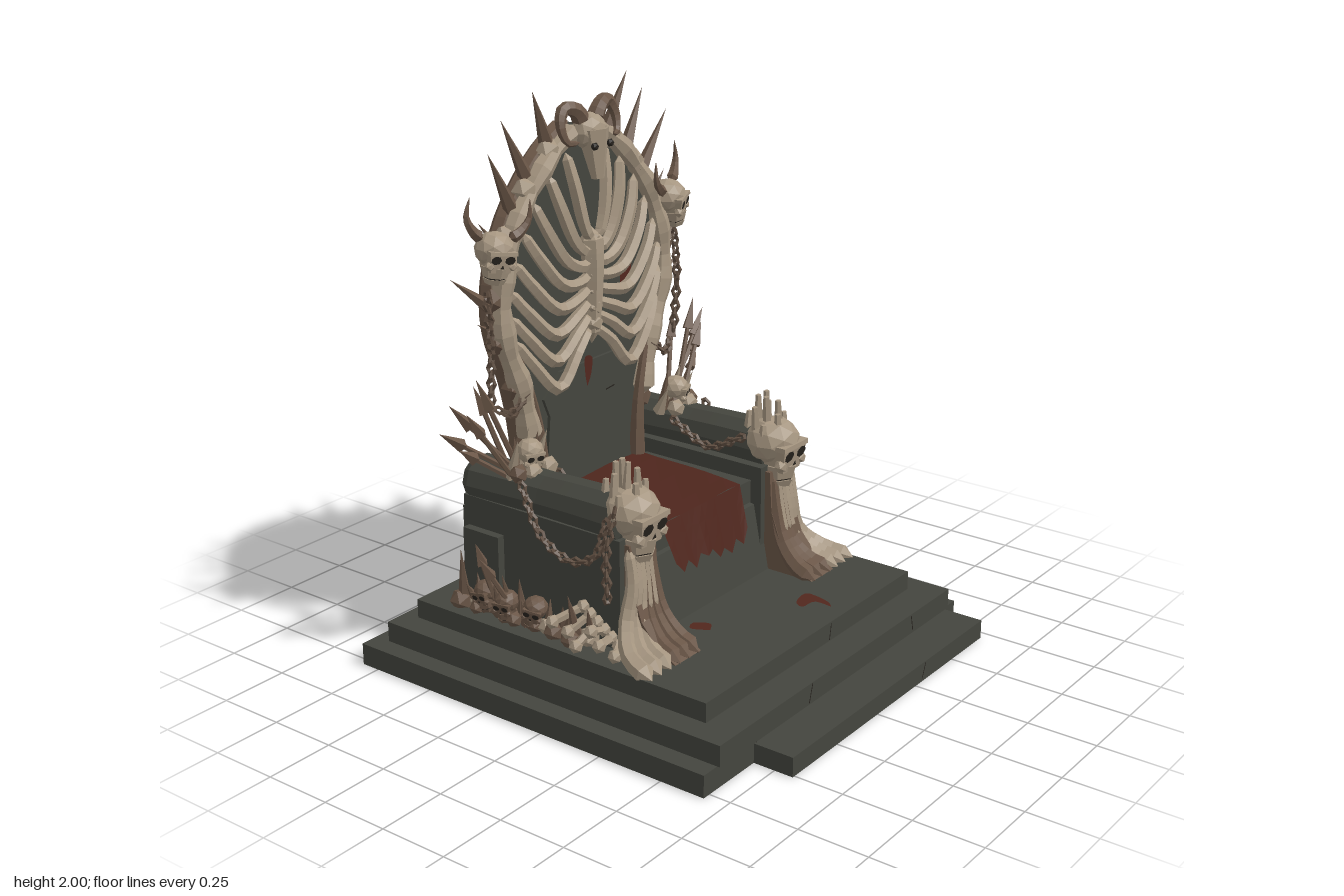
import * as THREE from 'three';

const mat = (name, color, side = THREE.FrontSide) => Object.assign(new THREE.MeshStandardMaterial({ color, side }), { name });
const V = (x, y, z) => new THREE.Vector3(x, y, z);

export function createModel() {
  const root = new THREE.Group();
  root.name = 'boneThrone';
  const stone = mat('stone', 0x44453e), bone = mat('pale bone', 0xa69681), brown = mat('old bone', 0x6a5647);
  const cloth = mat('red cloth', 0x4e261d, THREE.DoubleSide), blood = mat('dried blood', 0x52271e, THREE.DoubleSide);
  const dark = mat('dark hollow', 0x26221d, THREE.DoubleSide), iron = mat('rusty iron', 0x5e4d40);

  let seed = 7;
  const rnd = (a = 0, b = 1) => { seed = (seed * 16807) % 2147483647; return a + (b - a) * seed / 2147483647; };

  // Faceted mesh
  const add = (name, geo, m, parent = root) => {
    const g = geo.index ? geo.toNonIndexed() : geo;
    g.computeVertexNormals();
    const mesh = new THREE.Mesh(g, m);
    mesh.name = name;
    parent.add(mesh);
    return mesh;
  };
  const box = (name, m, x0, x1, y0, y1, z0, z1, parent) =>
    add(name, new THREE.BoxGeometry(x1 - x0, y1 - y0, z1 - z0).translate((x0 + x1) / 2, (y0 + y1) / 2, (z0 + z1) / 2), m, parent);
  const lump = (name, m, r, x, y, z, parent) => add(name, new THREE.IcosahedronGeometry(r, 0).translate(x, y, z), m, parent);

  // Tapered, closed tube through points; rad(t) gives the radius
  const limb = (name, m, pts, rad, seg = 10, sides = 6, parent = root) => {
    const curve = new THREE.CatmullRomCurve3(pts), geo = new THREE.TubeGeometry(curve, seg, 1, sides);
    const p = geo.attributes.position, v = V(0, 0, 0);
    for (let i = 0; i <= seg; i++) {
      const c = curve.getPointAt(i / seg), r = i === 0 || i === seg ? 0 : rad(i / seg);
      for (let j = 0; j <= sides; j++) {
        const k = i * (sides + 1) + j;
        v.fromBufferAttribute(p, k).sub(c).multiplyScalar(r).add(c);
        p.setXYZ(k, v.x, v.y, v.z);
      }
    }
    return add(name, geo, m, parent);
  };
  const between = (geo, a, b) => {
    const q = new THREE.Quaternion().setFromUnitVectors(V(0, 1, 0), b.clone().sub(a).normalize());
    return geo.applyQuaternion(q).translate((a.x + b.x) / 2, (a.y + b.y) / 2, (a.z + b.z) / 2);
  };
  const spike = (name, m, a, b, r, sides = 5) => add(name, between(new THREE.ConeGeometry(r, a.distanceTo(b), sides), a, b), m);
  const spear = (a, b) => {
    const neck = a.clone().lerp(b, 0.72);
    add('spearShaft', between(new THREE.CylinderGeometry(0.009, 0.011, a.distanceTo(neck), 5), a, neck), brown);
    spike('spearHead', brown, neck, b, 0.024, 4);
  };
  const longBone = (a, b, r, m) => {
    add('looseBone', between(new THREE.CylinderGeometry(r, r, a.distanceTo(b), 5), a, b), m);
    for (const e of [a, b]) lump('boneKnob', m, r * 1.7, e.x, e.y, e.z);
  };
  const chain = (pts) => {
    const curve = new THREE.CatmullRomCurve3(pts), n = Math.max(2, Math.round(curve.getLength() / 0.028));
    for (let i = 0; i <= n; i++) {
      const link = add('chainLink', new THREE.TorusGeometry(0.013, 0.007, 4, 6).rotateY(i % 2 ? 0.4 : 1.9).scale(1, 1.35, 1), iron);
      link.position.copy(curve.getPointAt(i / n));
      link.quaternion.setFromUnitVectors(V(0, 1, 0), curve.getTangentAt(i / n));
    }
  };

  // Skull about one unit tall, facing +z
  const skull = (name, m, x, y, z, size, turn = 0, tilt = 0, horns = false) => {
    const g = new THREE.Group();
    g.name = name;
    add('cranium', new THREE.IcosahedronGeometry(0.5, 1).scale(0.88, 0.8, 0.9).translate(0, 0.14, 0), m, g);
    add('face', new THREE.CylinderGeometry(0.45, 0.33, 0.44, 4).rotateY(Math.PI / 4).translate(0, -0.08, 0.13), m, g);
    box('brow', m, -0.33, 0.33, 0.09, 0.17, 0.2, 0.46, g);
    add('upperJaw', new THREE.CylinderGeometry(0.32, 0.26, 0.22, 6).translate(0, -0.32, 0.13), m, g);
    add('mouthGap', new THREE.CylinderGeometry(0.23, 0.23, 0.04, 6).translate(0, -0.44, 0.13), dark, g);
    add('lowerJaw', new THREE.CylinderGeometry(0.26, 0.2, 0.12, 6).translate(0, -0.52, 0.13), m, g);
    add('nose', new THREE.CircleGeometry(0.06, 3).rotateZ(Math.PI / 2).rotateX(0.2).translate(0, -0.17, 0.424), dark, g);
    for (const s of [-1, 1]) {
      add('eyeSocket', new THREE.CircleGeometry(0.11, 7).scale(1.15, 0.9, 1).rotateX(0.2).translate(s * 0.165, -0.01, 0.44), dark, g);
      lump('cheek', m, 0.11, s * 0.27, -0.16, 0.34, g);
      if (horns) limb('horn', brown, [V(s * 0.3, 0.35, 0), V(s * 0.55, 0.5, 0), V(s * 0.75, 0.8, 0), V(s * 0.72, 1.25, 0)], t => 0.15 * (1 - t) + 0.01, 8, 5, g);
    }
    g.position.set(x, y, z);
    g.rotation.set(0, turn, tilt);
    g.scale.setScalar(size);
    root.add(g);
  };

  // Stepped plinth
  box('bottomStep', stone, -0.78, 0.775, 0, 0.08, -0.82, 0.67);
  box('frontLedge', stone, -0.51, 0.71, 0, 0.07, 0.67, 0.82);
  box('middleStep', stone, -0.71, 0.71, 0.08, 0.155, -0.76, 0.68);
  box('topStep', stone, -0.62, 0.62, 0.155, 0.225, -0.7, 0.56);

  // Seat body with a sloping front
  const side = new THREE.Shape([[-0.58, 0.22], [0.14, 0.22], [0.09, 0.475], [0.065, 0.48], [0.06, 0.56], [-0.58, 0.56]].map(p => new THREE.Vector2(...p)));
  add('seatBody', new THREE.ExtrudeGeometry(side, { depth: 0.8, bevelEnabled: false }).rotateY(-Math.PI / 2).translate(0.4, 0, 0), stone);
  box('seatLip', stone, -0.32, 0.32, 0.48, 0.565, -0.4, 0.075);
  box('rearWall', stone, -0.49, 0.49, 0.22, 0.57, -0.585, -0.5);

  // Cloth: seat sheet and ragged hanging flap
  const sheet = new THREE.PlaneGeometry(1, 1, 6, 6), sp = sheet.attributes.position;
  for (let i = 0; i < sp.count; i++) {
    const x = sp.getX(i), t = 0.5 - sp.getY(i);
    sp.setXYZ(i, x * (0.56 - 0.1 * t), 0.577 + 0.004 * Math.sin(x * 9 + t * 5), -0.41 + 0.493 * t);
  }
  add('seatCloth', sheet, cloth);
  const drops = [0.44, 0.4, 0.43, 0.39, 0.43, 0.41, 0.42, 0.38, 0.4, 0.37, 0.41, 0.38, 0.43];
  const flap = new THREE.PlaneGeometry(1, 1, 12, 3), fp = flap.attributes.position;
  for (let i = 0; i < fp.count; i++) {
    const t = 0.5 - fp.getY(i), c = i % 13;
    fp.setXYZ(i, fp.getX(i) * (0.46 - 0.04 * t), 0.578 + (drops[c] - 0.578) * t, 0.083 + 0.05 * t + (c % 2) * 0.01 * t);
  }
  add('clothFlap', flap, cloth);

  // Backrest slab: half profile, mirrored
  const half = [[0.27, 0.5], [0.28, 0.78], [0.33, 1.0], [0.4, 1.18], [0.41, 1.33], [0.35, 1.53], [0.25, 1.67], [0.13, 1.78], [0, 1.85]];
  const outline = [...half, ...half.slice(0, -1).reverse().map(([x, y]) => [-x, y])].map(p => new THREE.Vector2(...p));
  add('backSlab', new THREE.ExtrudeGeometry(new THREE.Shape(outline), { depth: 0.09, bevelEnabled: false }).translate(0, 0, -0.52), stone);
  const panel = [[-0.24, 0.56], [0.24, 0.56], [0.21, 0.85], [0.24, 0.92], [0.15, 1.0], [-0.15, 1.0], [-0.24, 0.92], [-0.21, 0.85]];
  add('lowerPanel', new THREE.ExtrudeGeometry(new THREE.Shape(panel.map(p => new THREE.Vector2(...p))), { depth: 0.012, bevelEnabled: false }).translate(0, 0, -0.43), stone);

  // Breastbone
  limb('breastbone', bone, [V(0, 1.5, -0.4), V(0, 1.4, -0.39), V(0, 1.25, -0.39), V(0, 1.07, -0.4)], t => 0.046 - 0.02 * t, 9, 6);
  for (let i = 0; i < 6; i++) lump('breastboneKnob', bone, 0.036, 0, 1.45 - i * 0.06, -0.39);

  const ribEnds = [[0.1, 1.77], [0.19, 1.71], [0.27, 1.63], [0.33, 1.54], [0.38, 1.45], [0.41, 1.36], [0.41, 1.27], [0.39, 1.18]];
  const spikes = [[0.42, 1.27, 0.64, 1.44], [0.33, 1.59, 0.475, 1.83], [0.25, 1.68, 0.375, 1.92], [0.15, 1.78, 0.25, 2], [0.38, 1.46, 0.5, 1.6], [0.43, 1.2, 0.55, 1.27]];
  const spears = [[0.72, 0.93], [0.7, 1.03], [0.6, 1.1], [0.55, 1.05], [0.66, 0.86], [0.65, 0.99]];

  for (const s of [-1, 1]) {
    // Bone frame round the slab
    limb('frameBack', brown, half.map(([x, y]) => V(s * (x + 0.02), y + 0.01, -0.475)), t => 0.05 - 0.012 * t, 28, 7);
    limb('frameFront', bone, half.slice(1).map(([x, y]) => V(s * (x + 0.025), y, -0.425)), t => 0.044 - 0.012 * t + 0.006 * Math.sin(t * 40), 28, 7);
    limb('frameInner', brown, half.slice(0, 4).map(([x, y]) => V(s * (x - 0.005), y, -0.41)), t => 0.032 * (1.1 - t), 10, 6);
    for (const [x, y] of half.slice(1, 8)) lump('frameKnuckle', y > 1.4 ? bone : brown, 0.05, s * (x + 0.035), y, -0.44);

    // Ribs sag away from the breastbone and rise to the frame
    ribEnds.forEach(([x, y], i) => {
      const y0 = 1.47 - i * 0.047, sag = 0.012 + 0.003 * i * i;
      limb('rib', bone, [V(0, y0, -0.4), V(s * x * 0.22, y0 - sag * 0.45, -0.385), V(s * x * 0.5, y0 + (y - y0) * 0.2 - sag * 1.2, -0.385),
        V(s * x * 0.82, y0 + (y - y0) * 0.62 - sag * 0.55, -0.395), V(s * x, y, -0.42)], t => 0.018 + 0.006 * Math.sin(t * 3.1), 14, 5);
    });

    // Crown of spikes, horned skulls and hanging chains
    spikes.forEach(([x0, y0, x1, y1], i) => spike('frameSpike', brown, V(s * x0, y0, -0.45), V(s * x1, y1, i % 2 ? -0.43 : -0.46), i < 4 ? 0.032 : 0.022));
    skull('hornedSkull', bone, s * 0.47, 1.49, -0.42, 0.155, s * 0.35, s * 0.15, true);
    chain([V(s * 0.51, 1.36, -0.42), V(s * 0.51, 1.2, -0.41), V(s * 0.505, 1.0, -0.42)]);
    chain([V(s * 0.35, 0.98, -0.4), V(s * 0.43, 0.93, -0.4), V(s * 0.47, 0.95, -0.42)]);

    // Arms: wall and rounded rest with blunt ends
    box('armWall', stone, s > 0 ? 0.31 : -0.5, s > 0 ? 0.5 : -0.31, 0.22, 0.62, -0.57, 0.12);
    limb('armRest', stone, [V(s * 0.42, 0.67, 0.13), V(s * 0.42, 0.67, -0.1), V(s * 0.42, 0.665, -0.3), V(s * 0.42, 0.655, -0.61)],
      t => t > 0.95 ? 0.075 : 0.084 + 0.014 * Math.abs(t - 0.5), 24, 10);

    // Arm skull with a crown of shards
    skull('armSkull', bone, s * 0.41, 0.665, 0.1, 0.225);
    for (let i = 0; i < 10; i++) {
      const a = i * 2.4, r = 0.026 * Math.sqrt(i), x = s * 0.41 + r * Math.cos(a), z = 0.075 + r * Math.sin(a), top = 0.88 - i * 0.012;
      add('crownShard', between(new THREE.CylinderGeometry(0.011, 0.021, top - 0.7, 5), V(x, 0.7, z), V(x + rnd(-0.015, 0.015), top, z)), bone);
    }

    // Flaring leg of fused bones
    const leg = new THREE.Shape([[0.08, 0.22], [0.33, 0.225], [0.25, 0.27], [0.19, 0.34], [0.15, 0.45], [0.14, 0.6], [0.08, 0.6]].map(p => new THREE.Vector2(...p)));
    add('legCore', new THREE.ExtrudeGeometry(leg, { depth: 0.14, bevelEnabled: false }).rotateY(-Math.PI / 2).translate(s * 0.405 + 0.07, 0, 0), brown);
    for (let i = 0; i < 6; i++) {
      const x = 0.36 + i * 0.022, f = 0.35 + i * 0.051, pts = [V(s * x, 0.6, 0.13), V(s * x, 0.46, 0.148),
        V(s * (x * 0.75 + f * 0.25), 0.34, 0.18 - 0.006 * i), V(s * (x * 0.3 + f * 0.7), 0.26, 0.25 - 0.008 * i), V(s * f, 0.225, 0.335)];
      limb('legBone', i < 3 ? brown : bone, pts, t => 0.017 + 0.02 * t, 12, 6);
      if (i === 1 || i === 2) limb('legStreak', bone, pts.slice(0, 3).map(p => p.add(V(0, 0, 0.012))), () => 0.013, 6, 5);
    }

    // Spears and bones behind the arm
    spears.forEach(([x, y], i) => spear(V(s * (0.4 + 0.012 * i), 0.7, -0.4 + 0.02 * (i % 3)), V(s * x, y, -0.46 + 0.03 * (i % 3))));
    skull('restSkull', bone, s * 0.41, 0.79, -0.34, 0.11, s * 0.4);
    for (let i = 0; i < 7; i++) spike('restShard', i % 2 ? brown : bone, V(s * (0.35 + 0.02 * i), 0.72, -0.37), V(s * (0.34 + 0.025 * i), rnd(0.8, 0.9), -0.32 - 0.02 * (i % 3)), 0.026);
    for (let i = 0; i < 4; i++) lump('restRubble', i % 2 ? brown : bone, 0.035, s * (0.36 + 0.04 * i), 0.745, -0.3 - 0.03 * (i % 2));

    // Chains draped along the arm
    chain([V(s * 0.52, 0.68, 0.08), V(s * 0.525, 0.55, 0.03), V(s * 0.525, 0.51, -0.08), V(s * 0.525, 0.57, -0.2), V(s * 0.52, 0.72, -0.28)]);
    chain([V(s * 0.5, 0.72, 0.1), V(s * 0.53, 0.6, 0.09), V(s * 0.53, 0.42, 0.09)]);
    chain([V(s * 0.325, 0.71, 0.02), V(s * 0.315, 0.65, -0.12), V(s * 0.325, 0.71, -0.28)]);

    // Remains heaped along the side
    for (let i = 0; i < 14; i++) {
      const z = 0.0 - i * 0.042;
      spike('sideSpike', brown, V(s * rnd(0.5, 0.54), 0.21, z), V(s * rnd(0.52, 0.6), 0.3 + rnd(0, 0.18), z + rnd(-0.05, 0.05)), 0.028);
      lump('rubble', i % 4 ? brown : bone, rnd(0.025, 0.045), s * rnd(0.51, 0.57), 0.245, z);
    }
    for (let i = 0; i < 3; i++) skull('heapSkull', brown, s * (0.54 + 0.02 * (i % 2)), 0.29, -0.22 - 0.11 * i, 0.1, s * (1.2 + 0.2 * i), 0.2 * (i - 1));
    for (let i = 0; i < 6; i++) longBone(V(s * 0.51, 0.25 + 0.02 * i, 0.12 - 0.03 * i), V(s * (0.58 + 0.02 * (i % 2)), 0.25 + 0.03 * (i % 3), 0.16 - 0.05 * i), 0.015, bone);
    spear(V(s * 0.52, 0.22, -0.3), V(s * 0.68, 0.5, -0.34));
    spear(V(s * 0.52, 0.22, -0.4), V(s * 0.61, 0.51, -0.42));
    box('leaningSlab', stone, s > 0 ? 0.49 : -0.53, s > 0 ? 0.53 : -0.49, 0.22, 0.51, -0.55, -0.39);
  }

  // Remains along the back
  for (let i = 0; i < 20; i++) {
    const x = -0.49 + i * 0.052;
    spike('backSpike', brown, V(x, 0.21, -0.595), V(x + rnd(-0.05, 0.05), rnd(0.28, 0.44), -0.595 - rnd(0, 0.02)), 0.028);
    lump('backRubble', brown, rnd(0.025, 0.042), x, 0.24, -0.585);
  }

  // Ram skull at the peak
  add('ramCranium', new THREE.IcosahedronGeometry(0.07, 1).scale(1, 0.95, 0.8).translate(0, 1.83, -0.395), bone);
  add('ramMuzzle', new THREE.CylinderGeometry(0.06, 0.024, 0.17, 6).rotateX(-0.12).translate(0, 1.755, -0.37), bone);
  for (const s of [-1, 1]) {
    lump('ramEye', dark, 0.015, s * 0.041, 1.79, -0.338);
    limb('ramHorn', brown, [V(s * 0.03, 1.86, -0.4), V(s * 0.065, 1.91, -0.4), V(s * 0.115, 1.92, -0.41), V(s * 0.145, 1.87, -0.4), V(s * 0.13, 1.81, -0.38), V(s * 0.09, 1.81, -0.36)], t => 0.034 - 0.026 * t, 14, 6);
  }

  // Blood stains
  const stain = (pts) => new THREE.ShapeGeometry(new THREE.Shape(new THREE.SplineCurve([...pts, pts[0]].map(p => new THREE.Vector2(...p))).getPoints(20)));
  add('backStain', stain([[0.2, 1.22], [0.25, 1.24], [0.26, 1.34], [0.2, 1.29]]).translate(0, 0, -0.427), blood);
  add('panelStain', stain([[-0.01, 0.91], [0.012, 0.95], [0.02, 1.01], [-0.02, 1.02], [-0.02, 0.96]]).translate(0, 0, -0.415), blood);
  add('floorStain', stain([[-0.2, -0.27], [-0.16, -0.24], [-0.19, -0.19], [-0.23, -0.21]]).rotateX(-Math.PI / 2).translate(0, 0.228, 0), blood);
  add('floorStain', stain([[0.2, -0.5], [0.23, -0.46], [0.24, -0.37], [0.16, -0.38], [0.14, -0.42], [0.2, -0.43]]).rotateX(-Math.PI / 2).translate(0, 0.228, 0), blood);

  // Cracks and joints in the stone
  for (const [x, y, z, w, tilt] of [[-0.5, 0.04, 0.672, 0.07, 1.5], [0.3, 0.04, 0.822, 0.06, 1.2], [-0.2, 0.12, 0.682, 0.07, 1.3], [0.45, 0.12, 0.682, 0.06, 1.8], [0.1, 0.19, 0.562, 0.06, 1.4], [0.12, 0.87, -0.416, 0.05, 0.1]])
    add('crack', new THREE.PlaneGeometry(w, 0.005).rotateZ(tilt).translate(x, y, z), dark);
  return root;
}
